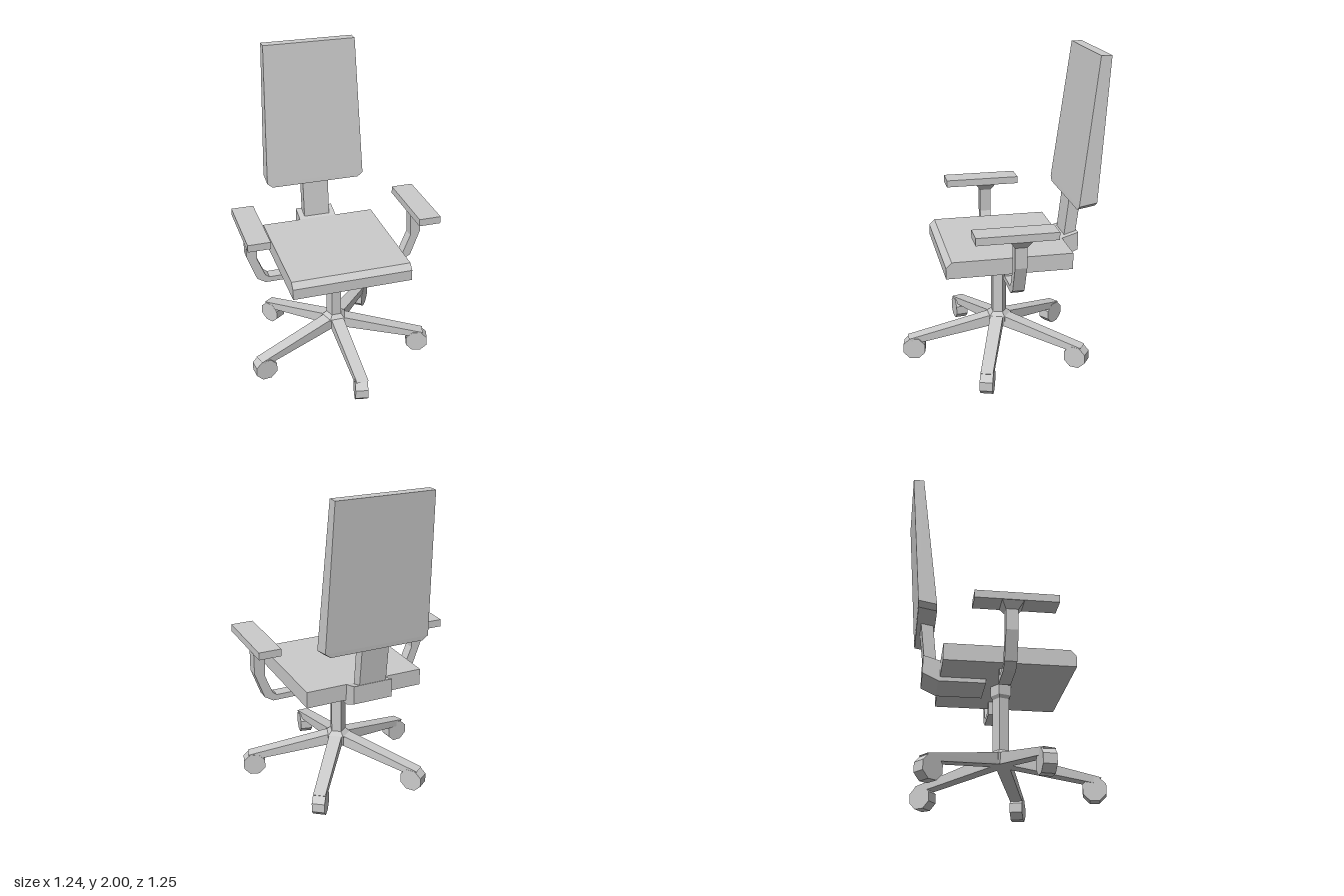
import * as THREE from 'three';
import { ConvexGeometry } from 'three/addons/geometries/ConvexGeometry.js';

const material = new THREE.MeshStandardMaterial({ color: 0xcccccc, flatShading: true });

function part(name, geometry, parent) {
  const mesh = new THREE.Mesh(geometry, material);
  mesh.name = name;
  parent.add(mesh);
  return mesh;
}

// Solid hull of corner points given for the +x side, mirrored to -x
function mirroredHull(corners) {
  const points = [];
  for (const [x, y, z] of corners) {
    points.push(new THREE.Vector3(x, y, z), new THREE.Vector3(-x, y, z));
  }
  return new ConvexGeometry(points);
}

// Flat outline pushed out along z from z0 to z1
function slab(outline, z0, z1) {
  const shape = new THREE.Shape(outline.map(([x, y]) => new THREE.Vector2(x, y)));
  const geometry = new THREE.ExtrudeGeometry(shape, { depth: z1 - z0, bevelEnabled: false });
  return geometry.translate(0, 0, z0);
}

// Five-sided turned part with a corner towards the back
function turned(profile) {
  return new THREE.LatheGeometry(profile.map(([r, y]) => new THREE.Vector2(r, y)), 5, Math.PI);
}

function createArmrest(side) {
  const arm = new THREE.Group();
  arm.name = side > 0 ? 'leftArmrest' : 'rightArmrest';
  const outline = [
    [0.255, 0.705], [0.255, 0.62], [0.47, 0.62], [0.525, 0.655], [0.587, 0.825], [0.587, 0.96],
    [0.515, 0.96], [0.52, 0.8], [0.47, 0.675], [0.445, 0.656], [0.3, 0.656], [0.3, 0.705],
  ].map(([x, y]) => [side * x, y]);
  part('armBracket', slab(outline, -0.055, 0.018), arm);

  // Flare between the bracket and the pad
  const flare = [];
  for (const [x0, x1, y, z0, z1] of [[0.515, 0.587, 0.955, -0.055, 0.018], [0.48, 0.617, 1.0, -0.08, 0.05]]) {
    for (const x of [x0, x1]) for (const z of [z0, z1]) flare.push(new THREE.Vector3(side * x, y, z));
  }
  part('padSupport', new ConvexGeometry(flare), arm);

  const pad = part('armPad', new THREE.BoxGeometry(0.142, 0.047, 0.495), arm);
  pad.position.set(side * 0.549, 1.024, 0.008);
  return arm;
}

export function createModel() {
  const chair = new THREE.Group();
  chair.name = 'officeChair';

  // Seat with a chamfered front edge
  part('seat', mirroredHull([
    [0.385, 0.705, -0.395], [0.385, 0.81, -0.395], [0.385, 0.81, 0.36],
    [0.385, 0.775, 0.395], [0.385, 0.705, 0.395],
  ]), chair);

  // Tapered backrest leaning backwards, lower corners cut
  part('backrest', mirroredHull([
    [0.3, 1.06, -0.435], [0.335, 1.088, -0.438], [0.305, 2, -0.55],
    [0.3, 1.08, -0.548], [0.335, 1.108, -0.551], [0.305, 2, -0.617],
  ]), chair);
  part('backrestStem', mirroredHull([
    [0.088, 0.8, -0.417], [0.088, 0.8, -0.49], [0.088, 1.1, -0.45], [0.088, 1.1, -0.525],
  ]), chair);

  // Bracket running under the seat and up behind it
  const bracket = part('backrestBracket', slab([
    [-0.115, 0.705], [-0.115, 0.678], [-0.405, 0.678], [-0.502, 0.725], [-0.502, 0.842], [-0.395, 0.81], [-0.395, 0.705],
  ].map(([z, y]) => [-z, y]), -0.127, 0.127), chair);
  bracket.rotation.y = Math.PI / 2;

  for (const side of [1, -1]) chair.add(createArmrest(side));

  // Column, collar and hub
  const column = part('column', turned([
    [0, 0.19], [0.08, 0.195], [0.085, 0.26], [0.053, 0.287], [0.053, 0.62], [0.068, 0.64], [0.068, 0.705], [0, 0.705],
  ]), chair);
  column.position.z = -0.005;

  // Five-star base with a swivelled caster under each leg
  const legGeometry = mirroredHull([
    [0.042, 0.262, 0.03], [0.042, 0.195, 0.03], [0.042, 0.262, 0.07], [0.042, 0.195, 0.1],
    [0.038, 0.142, 0.6], [0.038, 0.105, 0.56],
  ]);
  const wheelGeometry = new THREE.CylinderGeometry(0.076, 0.076, 0.08, 8);
  wheelGeometry.rotateY(Math.PI / 8).rotateZ(Math.PI / 2);
  const swivels = [-0.21, 0, 0, 0, -0.21];
  swivels.forEach((swivel, i) => {
    const spoke = new THREE.Group();
    spoke.name = 'baseSpoke';
    spoke.rotation.y = (i * Math.PI * 2) / 5;
    part('baseLeg', legGeometry, spoke);
    const wheel = part('caster', wheelGeometry, spoke);
    wheel.position.set(0, 0.07, 0.56);
    wheel.rotation.y = swivel;
    chair.add(spoke);
  });

  return chair;
}
